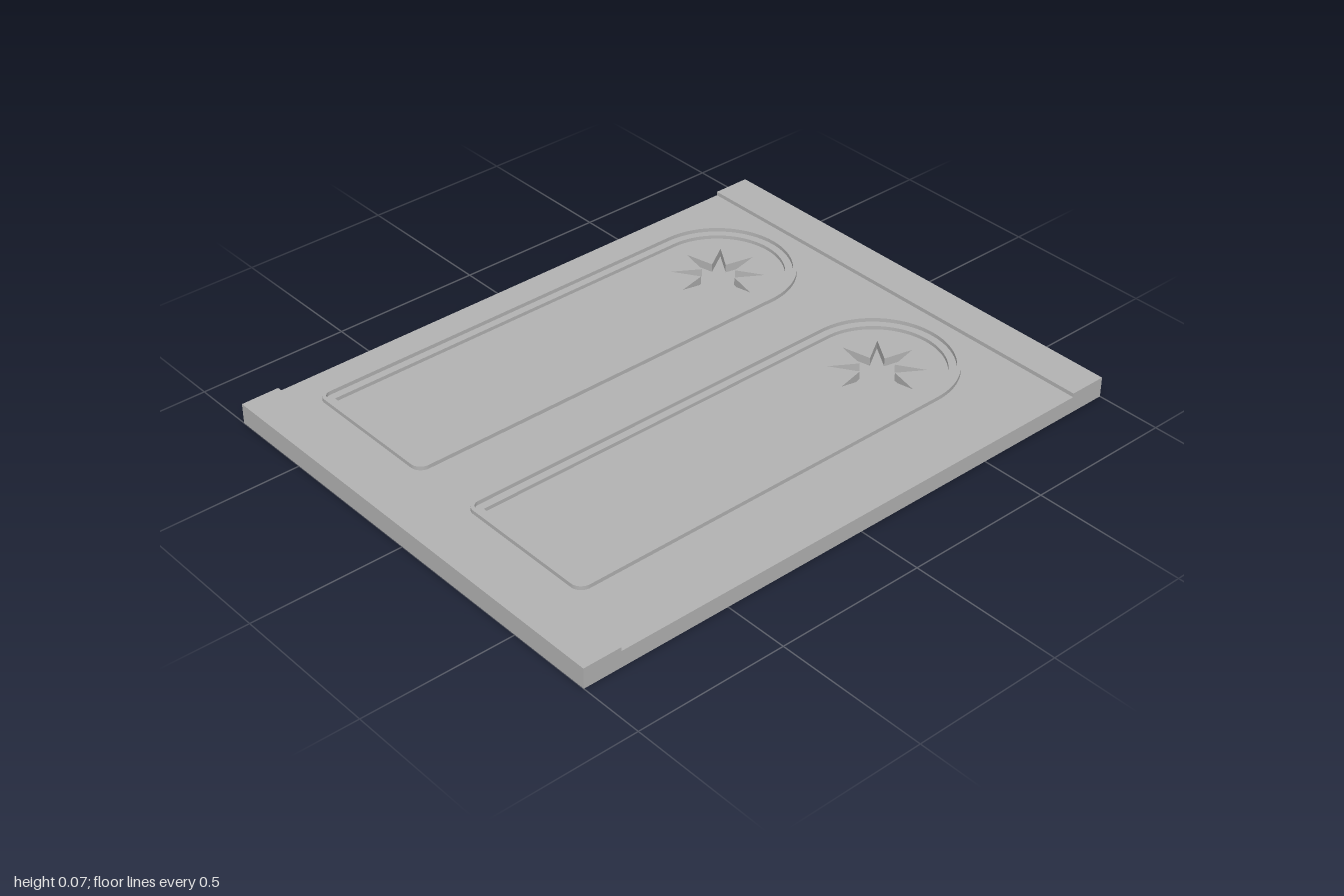
import * as THREE from 'three';

const WIDTH = 1.57, LENGTH = 2;
const Y_STAR = 0.015, Y_PANEL = 0.043, Y_FACE = 0.055, Y_TOP = 0.068;
const ARCH_X = [-0.432, 0.283];
const SPRING = 0.56, STAR_R = 0.15, STAR_INNER = 0.057;

// Arched outline, grown outwards from the square-cornered inner panel
function arch(cx, grow, Target = THREE.Shape) {
  const r = 0.213 + grow, bottom = -0.768 - grow, s = new Target();
  s.moveTo(cx + r, SPRING);
  s.absarc(cx, SPRING, r, 0, Math.PI, false);
  s.lineTo(cx - r, bottom + grow);
  if (grow > 0) s.absarc(cx - r + grow, bottom + grow, grow, Math.PI, Math.PI * 1.5, false);
  s.lineTo(cx + r - grow, bottom);
  if (grow > 0) s.absarc(cx + r - grow, bottom + grow, grow, -Math.PI / 2, 0, false);
  s.closePath();
  return s;
}

// Eight-pointed star outline
function star(cx) {
  const pts = [];
  for (let i = 0; i < 16; i++) {
    const a = i * Math.PI / 8, r = i % 2 ? STAR_INNER : STAR_R;
    pts.push(new THREE.Vector2(cx + r * Math.cos(a), SPRING + r * Math.sin(a)));
  }
  return new THREE.Path(pts).closePath();
}

function rectangle() {
  const w = WIDTH / 2, l = LENGTH / 2;
  return new THREE.Shape([[-w, -l], [w, -l], [w, l], [-w, l]].map(p => new THREE.Vector2(...p)));
}

// Horizontal layer between two heights
function layer(shape, y0, y1) {
  const g = new THREE.ExtrudeGeometry(shape, { depth: y1 - y0, bevelEnabled: false, curveSegments: 32 });
  return g.rotateX(-Math.PI / 2).translate(0, y0, 0);
}

export function createModel() {
  const group = new THREE.Group();
  const grey = new THREE.MeshStandardMaterial({ color: 0xb3b3b3 });
  grey.name = 'grey';
  const add = (name, geometry) => {
    const mesh = new THREE.Mesh(geometry, grey);
    mesh.name = name;
    group.add(mesh);
  };

  // Solid back of the slab
  add('base', layer(rectangle(), 0, Y_STAR));

  // Panel level, pierced by the stars
  const panel = rectangle();
  panel.holes = ARCH_X.map(star);
  add('starPanel', layer(panel, Y_STAR, Y_PANEL));

  // Face level, with the arched recesses
  const face = rectangle();
  face.holes = ARCH_X.map(x => arch(x, 0, THREE.Path));
  add('face', layer(face, Y_PANEL, Y_FACE));

  // Thin raised rims around the recesses
  ARCH_X.forEach((x, i) => {
    const rim = arch(x, 0.037);
    rim.holes = [arch(x, 0.025, THREE.Path)];
    add(i ? 'leftRim' : 'rightRim', layer(rim, Y_FACE, Y_TOP));
  });

  // Raised strips across both ends
  for (const side of [-1, 1]) {
    const strip = new THREE.BoxGeometry(WIDTH, Y_TOP - Y_FACE, 0.127);
    strip.translate(0, (Y_TOP + Y_FACE) / 2, side * (LENGTH / 2 - 0.0635));
    add(side > 0 ? 'frontStrip' : 'backStrip', strip);
  }
  return group;
}
